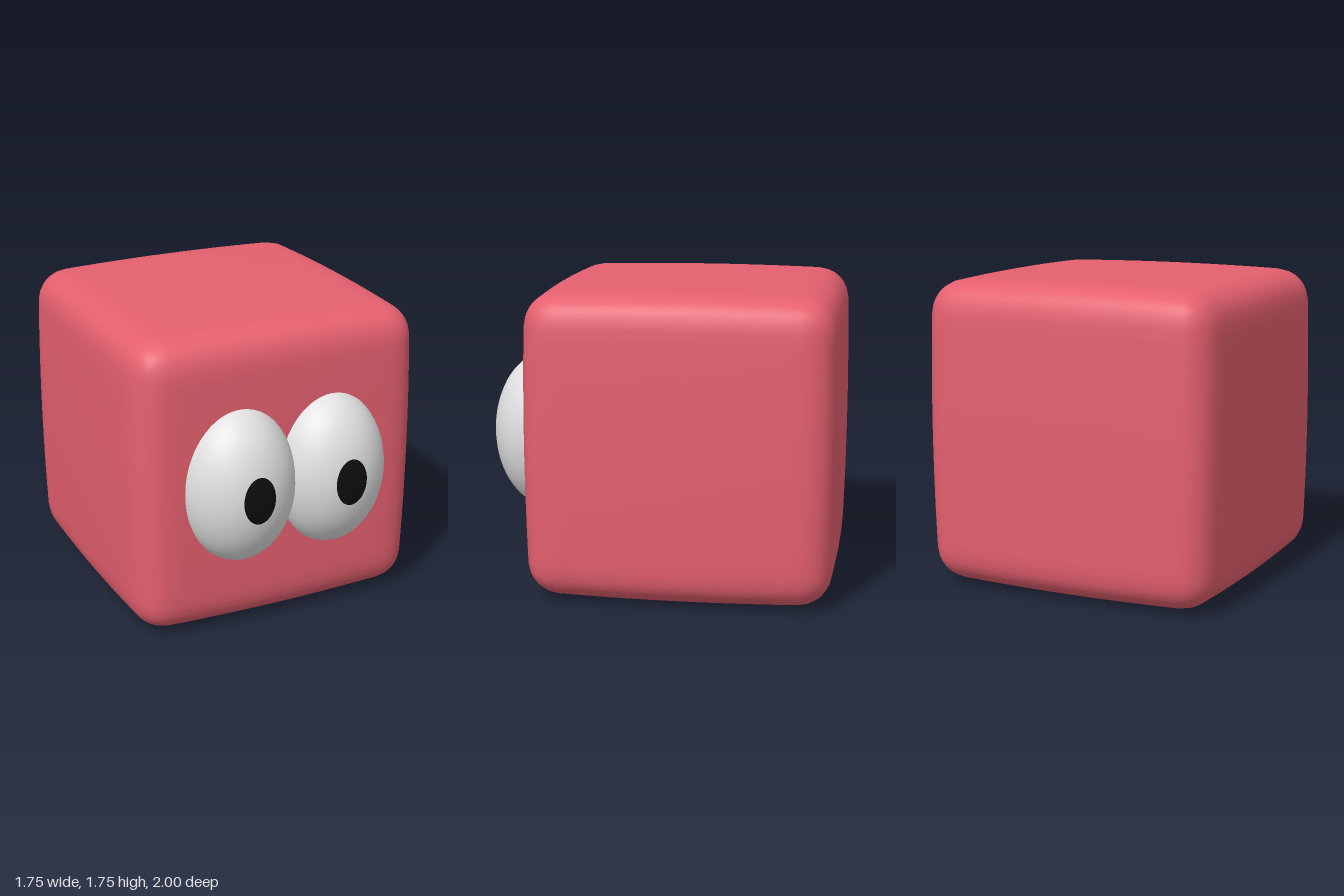
import * as THREE from 'three';
import { mergeVertices } from 'three/addons/utils/BufferGeometryUtils.js';

const HALF = 0.875;   // half size of the cube
const ROUND = 0.18;   // edge radius
const EYE = { x: 0.28, y: 0.88, z: 0.7, rx: 0.33, ry: 0.45, rz: 0.3 };

const material = (name, color) => {
  const m = new THREE.MeshStandardMaterial({ color });
  m.name = name;
  return m;
};

// Cube with rounded edges and gently swelling faces
function softCube() {
  let geo = new THREE.BoxGeometry(2, 2, 2, 24, 24, 24);
  geo.deleteAttribute('uv');
  geo.deleteAttribute('normal');
  geo = mergeVertices(geo);
  const pos = geo.attributes.position;
  const p = new THREE.Vector3(), core = new THREE.Vector3();
  const inner = HALF - ROUND;
  const spread = t => Math.sin(t * Math.PI / 2) * HALF; // denser rows near the edges
  for (let i = 0; i < pos.count; i++) {
    p.fromBufferAttribute(pos, i);
    p.set(spread(p.x), spread(p.y), spread(p.z));
    core.copy(p).clampScalar(-inner, inner);
    p.sub(core).setLength(ROUND).add(core);
    const [a, b, c] = p.toArray().map(v => 0.018 * (v / HALF) ** 2);
    pos.setXYZ(i, p.x * (1 - b - c), p.y * (1 - a - c), p.z * (1 - a - b));
  }
  geo.computeVertexNormals();
  return geo;
}

// Oval disc that follows the front of the eyeball
function pupilCap() {
  const geo = new THREE.RingGeometry(0, 1, 40, 5);
  const pos = geo.attributes.position;
  for (let i = 0; i < pos.count; i++) {
    const x = pos.getX(i) * 0.094, y = pos.getY(i) * 0.135 + 0.008;
    const z = EYE.rz * Math.sqrt(1 - (x / EYE.rx) ** 2 - (y / EYE.ry) ** 2);
    pos.setXYZ(i, x, y, z + 0.002);
  }
  geo.computeVertexNormals();
  return geo;
}

export function createModel() {
  const model = new THREE.Group();
  const red = material('softRed', 0xe5606f);
  const white = material('eyeWhite', 0xe0e0e0);
  const black = material('pupilBlack', 0x0e0e0e);

  const body = new THREE.Mesh(softCube(), red);
  body.name = 'body';
  body.position.set(0, HALF + 0.003, -0.125);
  model.add(body);

  // Pair of overlapping eyes sunk into the front face
  const ball = new THREE.SphereGeometry(1, 48, 32).scale(EYE.rx, EYE.ry, EYE.rz);
  const cap = pupilCap();
  for (const [side, sign] of [['left', 1], ['right', -1]]) {
    const eye = new THREE.Group();
    eye.name = side + 'Eye';
    eye.position.set(sign * EYE.x, EYE.y, EYE.z);
    const eyeball = new THREE.Mesh(ball, white);
    eyeball.name = side + 'Eyeball';
    const pupil = new THREE.Mesh(cap, black);
    pupil.name = side + 'Pupil';
    eye.add(eyeball, pupil);
    model.add(eye);
  }
  return model;
}
